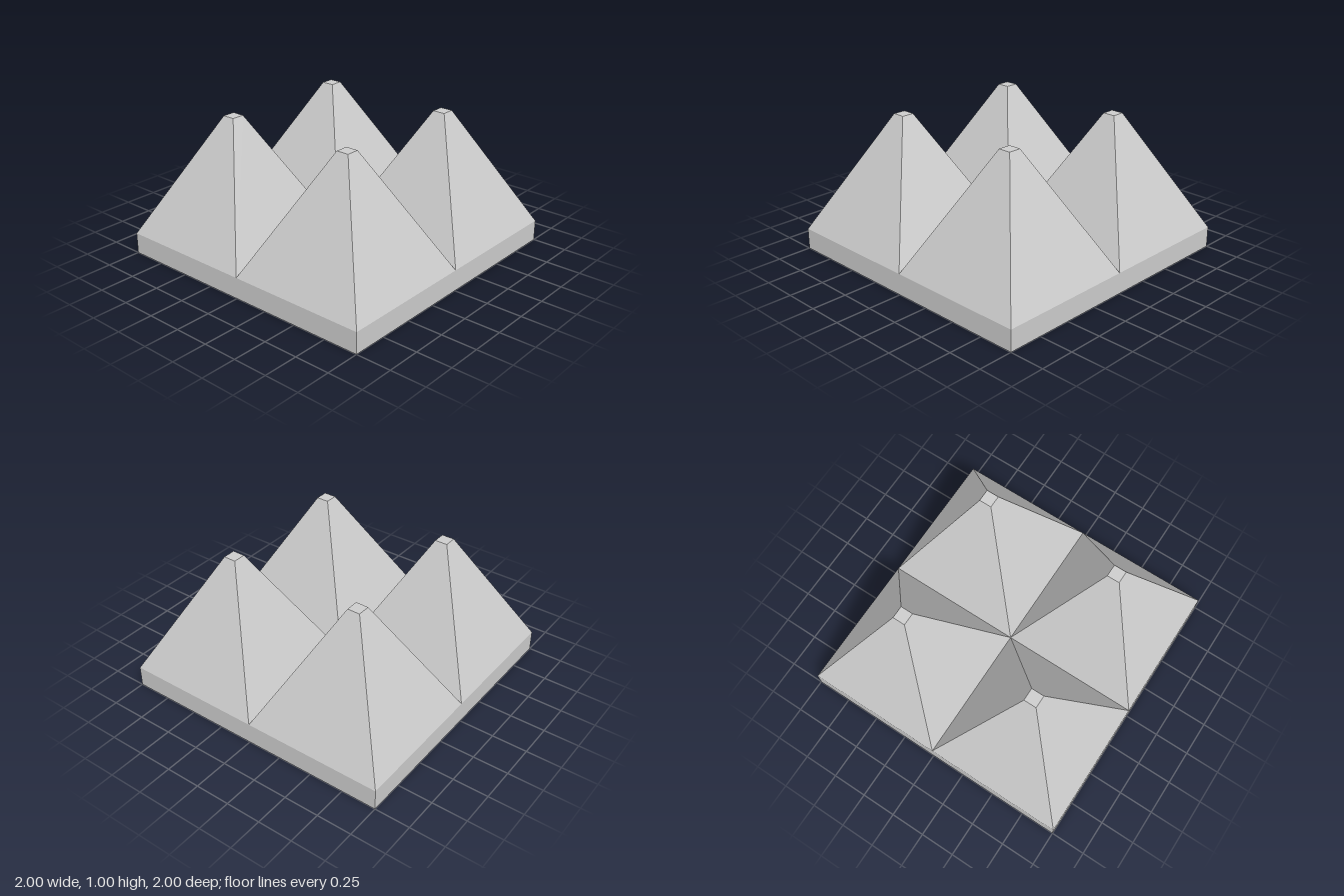
import * as THREE from 'three';

const BASE_HEIGHT = 0.15;
const PEAK_HEIGHT = 0.85;
const FOOT = 1; // width of each pyramid at its foot
const TIP = 0.09; // width of its flat tip

export function createModel() {
  const group = new THREE.Group();
  group.name = 'pyramidTile';
  const material = new THREE.MeshStandardMaterial({ color: 0xcccccc, flatShading: true });

  // Square slab
  const base = new THREE.Mesh(new THREE.BoxGeometry(2, BASE_HEIGHT, 2), material);
  base.name = 'base';
  base.position.y = BASE_HEIGHT / 2;
  group.add(base);

  // Truncated square pyramid: a four-sided cylinder turned square to the axes
  const pyramid = new THREE.CylinderGeometry(TIP * Math.SQRT1_2, FOOT * Math.SQRT1_2, PEAK_HEIGHT, 4);
  pyramid.rotateY(Math.PI / 4);

  // Two by two pyramids, meeting at their feet
  for (const [side, x] of [['Left', 0.5], ['Right', -0.5]]) {
    for (const [end, z] of [['front', 0.5], ['back', -0.5]]) {
      const peak = new THREE.Mesh(pyramid, material);
      peak.name = `${end}${side}Pyramid`;
      peak.position.set(x, BASE_HEIGHT + PEAK_HEIGHT / 2, z);
      group.add(peak);
    }
  }
  return group;
}
